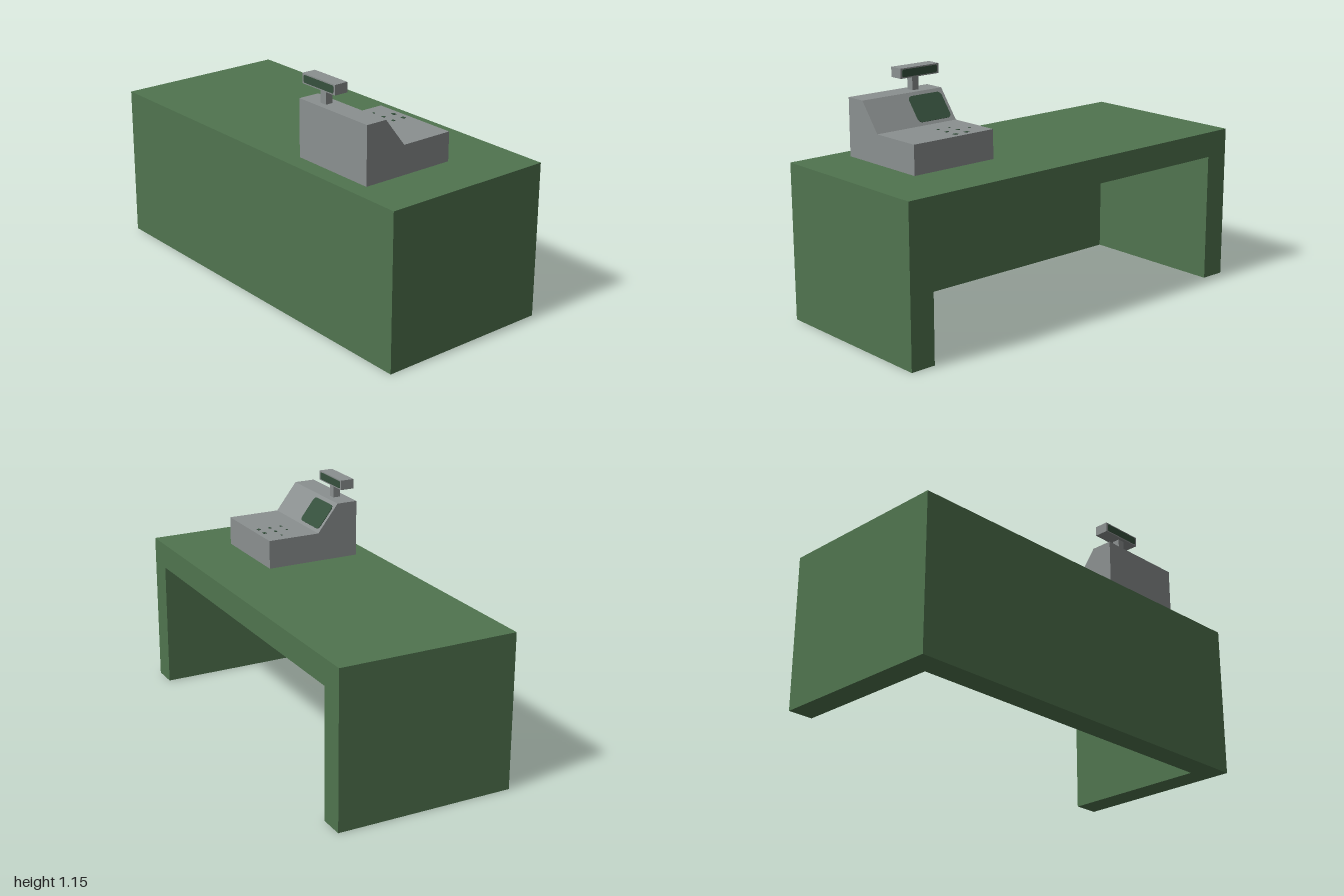
import * as THREE from 'three';

const green = new THREE.MeshStandardMaterial({ color: 0x50744f });
green.name = 'counter green';
const grey = new THREE.MeshStandardMaterial({ color: 0x8b9090 });
grey.name = 'register grey';
const dark = new THREE.MeshStandardMaterial({ color: 0x36503d });
dark.name = 'screen dark green';

function add(parent, name, geometry, material, x = 0, y = 0, z = 0) {
  const mesh = new THREE.Mesh(geometry, material);
  mesh.name = name;
  mesh.position.set(x, y, z);
  parent.add(mesh);
  return mesh;
}

// Box given by its lower and upper corners
function block(parent, name, material, [x0, y0, z0], [x1, y1, z1]) {
  return add(parent, name, new THREE.BoxGeometry(x1 - x0, y1 - y0, z1 - z0), material,
    (x0 + x1) / 2, (y0 + y1) / 2, (z0 + z1) / 2);
}

function extrude(points, depth) {
  const shape = new THREE.Shape(points.map(([x, y]) => new THREE.Vector2(x, y)));
  return new THREE.ExtrudeGeometry(shape, { depth, bevelEnabled: false });
}

// Thin plate with rounded corners, facing +z
function plate(w, h, r, depth) {
  const s = new THREE.Shape();
  const a = w / 2 - r, b = h / 2 - r;
  s.absarc(a, b, r, 0, Math.PI / 2);
  s.absarc(-a, b, r, Math.PI / 2, Math.PI);
  s.absarc(-a, -b, r, Math.PI, Math.PI * 1.5);
  s.absarc(a, -b, r, Math.PI * 1.5, Math.PI * 2);
  return new THREE.ExtrudeGeometry(s, { depth, bevelEnabled: false, curveSegments: 5 });
}

export function createModel() {
  const model = new THREE.Group();
  model.name = 'checkoutCounter';

  // Counter: arch of top and side walls, closed by a front panel, open at the back
  const H = 0.757, D = 0.437, T = 0.125;
  const counter = new THREE.Group();
  counter.name = 'counter';
  model.add(counter);
  const arch = [[-1, 0], [-1 + T, 0], [-1 + T, H - T], [1 - T, H - T], [1 - T, 0], [1, 0], [1, H], [-1, H]];
  add(counter, 'counterTopAndSides', extrude(arch, 2 * D - T), green, 0, 0, -D);
  block(counter, 'frontPanel', green, [-1, 0, D - T], [1, H, D]);

  // Register body: side profile as (-z, y), extruded across x
  const register = new THREE.Group();
  register.name = 'cashRegister';
  model.add(register);
  const profile = [[-0.35, H], [0.13, H], [0.13, 0.898], [-0.137, 0.898], [-0.244, 1.036], [-0.35, 1.036]];
  add(register, 'registerBody', extrude(profile, 0.457), grey, 0.271).rotation.y = Math.PI / 2;

  // Screen lying on the slope
  const screen = add(register, 'slopeScreen', plate(0.192, 0.138, 0.022, 0.003), dark, 0.385, 0.966, 0.1895);
  screen.lookAt(0.385, 0.966 + 0.107, 0.1895 - 0.138);

  // Keys on the low deck
  const keys = [[0.4, -0.095, 0.02], [0.465, -0.095, 0.02], [0.332, -0.034, 0.01], [0.4, -0.034, 0.016],
    [0.465, -0.034, 0.016], [0.4, 0.028, 0.01], [0.465, 0.028, 0.012]];
  for (const [x, z, s] of keys) {
    add(register, 'key', new THREE.BoxGeometry(s, 0.002, s * 0.8), dark, x, 0.899, z);
  }

  // Customer display on a pole, with a screen on both faces
  block(register, 'displayPole', grey, [0.379, 1.036, 0.279], [0.415, 1.102, 0.317]);
  block(register, 'displayHead', grey, [0.271, 1.102, 0.263], [0.495, 1.15, 0.333]);
  for (const side of [1, -1]) {
    const face = add(register, 'displayScreen', plate(0.204, 0.036, 0.008, 0.002), dark,
      0.383, 1.126, 0.298 + side * 0.0345);
    if (side < 0) face.rotation.y = Math.PI;
  }
  return model;
}
